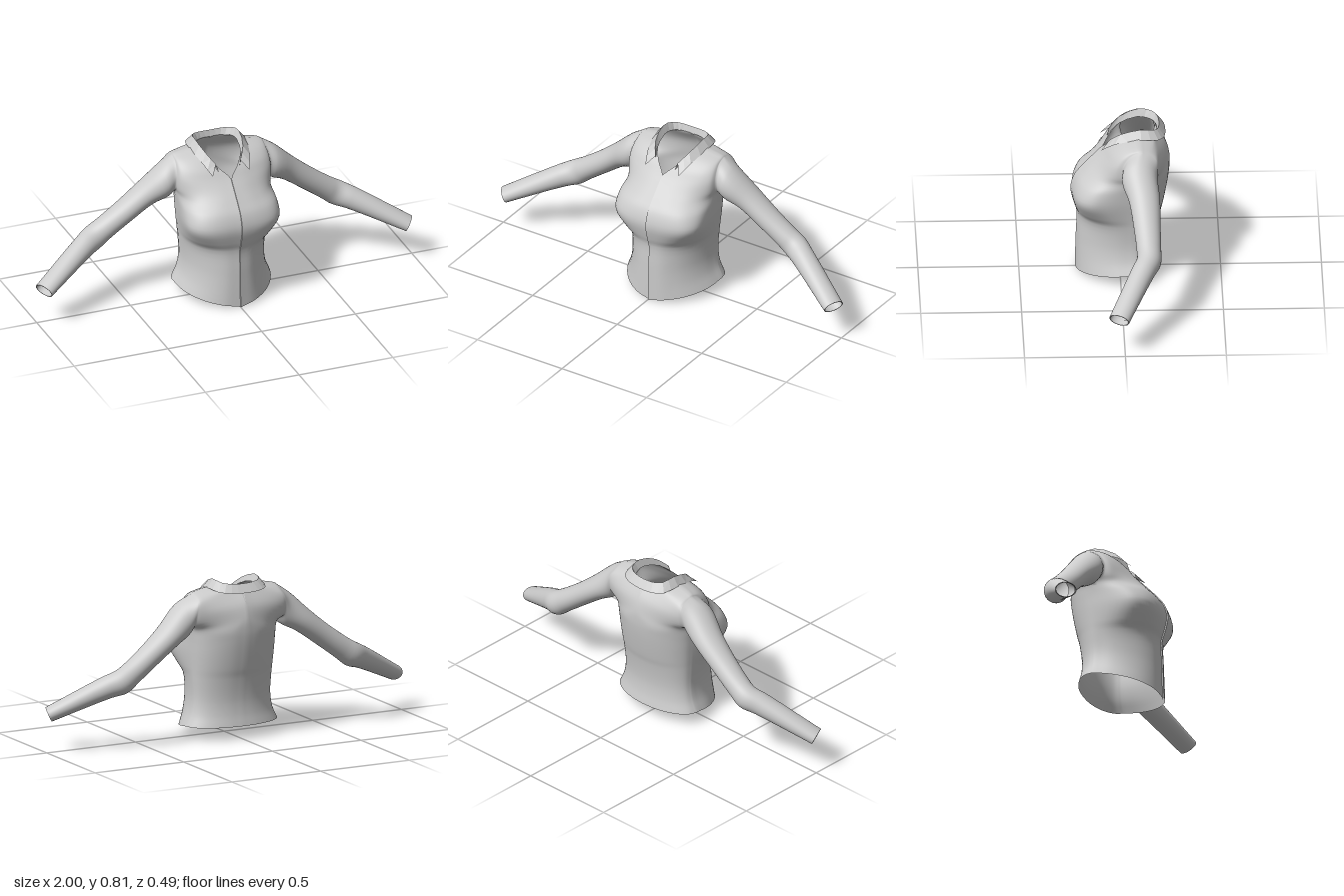
import * as THREE from 'three';
import { mergeGeometries, mergeVertices } from 'three/addons/utils/BufferGeometryUtils.js';

const STEPS = 4; // subdivisions between control points
const ARMPIT = 7, NECK = 9; // control rows at the armpit and at the front of the neckline
const vec = (x, y, z) => new THREE.Vector3(x, y, z);

// Torso below the armholes: y, front z, half width, back z, bust fullness
const TORSO = [
  [0, .215, .252, -.2, 0],
  [.1, .213, .225, -.188, 0],
  [.2, .21, .213, -.185, 0],
  [.31, .207, .218, -.2, .1],
  [.36, .222, .222, -.213, .5],
  [.44, .237, .228, -.23, 1],
  [.51, .217, .232, -.242, .8],
  [.56, .178, .238, -.247, .35],
];
// Chest rows: point on the centre or neckline, point on the armhole
const CHEST = [
  [vec(0, .605, .137), vec(.25, .595, -.02)],
  [vec(0, .655, .09), vec(.25, .655, -.01)],
  [vec(.05, .705, .048), vec(.245, .7, -.03)],
  [vec(.09, .75, -.01), vec(.24, .728, -.06)],
  [vec(.105, .775, -.09), vec(.24, .744, -.1)],
];
const UPPER_BACK = [
  [vec(0, .62, -.246), vec(.25, .595, -.16)],
  [vec(0, .69, -.228), vec(.25, .655, -.182)],
  [vec(0, .755, -.185), vec(.245, .7, -.178)],
  [vec(.075, .764, -.165), vec(.24, .728, -.145)],
];
// Sleeve rings: centre, half height, half depth
const SLEEVE = [
  [vec(.288, .618, -.092), .085, .088],
  [vec(.378, .548, -.113), .062, .077],
  [vec(.488, .463, -.122), .057, .067],
  [vec(.59, .388, -.128), .058, .061],
  [vec(.648, .348, -.127), .063, .061],
  [vec(.715, .32, -.095), .057, .058],
  [vec(.973, .187, .03), .038, .053],
];
// Collar fold, front to back
const FOLD = [
  vec(.065, .728, .052), vec(.1, .775, 0), vec(.118, .809, -.1),
  vec(.105, .8, -.165), vec(.06, .793, -.19), vec(0, .79, -.195),
];

function smooth(points, n) {
  return new THREE.CatmullRomCurve3(points).getPoints((points.length - 1) * n);
}

// Interpolate rows lengthwise, column by column
function loft(rows) {
  const cols = rows[0].map((_, j) => smooth(rows.map((r) => r[j]), STEPS));
  return cols[0].map((_, i) => cols.map((c) => c[i]));
}

// Quarter superellipse from inner to outer point; power below 1 is fuller
function section(inner, outer, power = 1, swell = 0) {
  return [0, 1, 2, 3, 4, 5].map((k) => {
    const t = k / 5, a = t * Math.PI / 2;
    return vec(
      inner.x + (outer.x - inner.x) * Math.sin(a) ** power + swell * Math.sin(2 * a),
      inner.y + (outer.y - inner.y) * t,
      outer.z + (inner.z - outer.z) * Math.cos(a) ** power);
  });
}

// Sleeve ring square to the arm: starts at the bottom and goes up the back
function sleeveRing(k, n, scale = 1, inset = 0) {
  const [centre, height, depth] = SLEEVE[k];
  const before = k ? SLEEVE[k - 1][0] : vec(0, .62, -.09);
  const after = SLEEVE[Math.min(k + 1, SLEEVE.length - 1)][0];
  const axis = after.clone().sub(before).normalize();
  const forward = vec(-axis.z, 0, axis.x).normalize();
  const up = forward.clone().cross(axis);
  return Array.from({ length: n + 1 }, (_, j) => {
    const a = 2 * Math.PI * j / n;
    return centre.clone()
      .addScaledVector(up, -Math.cos(a) * height * scale)
      .addScaledVector(forward, -Math.sin(a) * depth * scale)
      .addScaledVector(axis, -inset);
  });
}

// Triangulate a grid of points, optionally mirrored to the other side
function gridGeometry(grid, mirror = false) {
  const w = grid[0].length, idx = [];
  const points = grid.flat().map((p) => vec(mirror ? -p.x : p.x, p.y, p.z));
  for (let i = 0; i < grid.length - 1; i++) {
    for (let j = 0; j < w - 1; j++) {
      const a = i * w + j, b = a + 1, c = b + w, d = a + w;
      idx.push(...(mirror ? [a, c, b, a, d, c] : [a, b, c, a, c, d]));
    }
  }
  const g = new THREE.BufferGeometry().setFromPoints(points);
  g.setIndex(idx);
  return g;
}

export function createModel() {
  const group = new THREE.Group();
  const add = (name, geometry, flatShading = false) => {
    geometry.computeVertexNormals();
    const mesh = new THREE.Mesh(geometry,
      new THREE.MeshStandardMaterial({ color: 0xcccccc, side: THREE.DoubleSide, flatShading }));
    mesh.name = name;
    group.add(mesh);
  };

  // Front and back control rows; the hem dips at the front
  const frontRows = [], backRows = [];
  TORSO.forEach(([y, frontZ, width, backZ, bust]) => {
    const side = vec(width, y + Math.max(0, .066 - .4 * y), -.07);
    frontRows.push(section(vec(0, y, frontZ), side, 1 - .35 * bust, .04 * bust));
    backRows.push(section(vec(0, side.y, backZ), side).reverse());
  });
  CHEST.forEach(([inner, outer]) => frontRows.push(section(inner, outer)));
  UPPER_BACK.forEach(([inner, outer]) => backRows.push(section(inner, outer, 1.5).reverse()));
  backRows.push([...frontRows[frontRows.length - 1]].reverse());

  // Panels, joined along the side seam and shoulder seam
  const front = loft(frontRows.map((r) => smooth(r, STEPS)));
  const back = loft(backRows.map((r) => smooth(r, STEPS)));
  front.forEach((row, i) => {
    row.forEach((p) => { p.x = Math.max(0, p.x); });
    if (i <= NECK * STEPS) row[0].x = 0;
    if (i <= ARMPIT * STEPS) back[i][0].copy(row[row.length - 1]);
  });

  // Sleeve grows out of the armhole loop
  const armFront = front.slice(ARMPIT * STEPS).map((r) => r[r.length - 1]);
  const armBack = back.slice(ARMPIT * STEPS).map((r) => r[0]);
  const armhole = [...armBack, ...armFront.reverse().slice(1)];
  const around = armhole.length - 1;
  const sleeve = loft([armhole, ...SLEEVE.map((_, k) => sleeveRing(k, around))]);

  // The left front laps slightly over the right one
  const leftFront = front.map((row) => row.map((p) =>
    vec(p.x, p.y, p.z + .007 * Math.max(0, 1 - p.x / .12))));
  const shell = mergeGeometries([
    gridGeometry(leftFront), gridGeometry(front, true),
    ...[false, true].flatMap((m) => [gridGeometry(back, m), gridGeometry(sleeve, m)]),
  ]);
  add('bodyAndSleeves', mergeVertices(shell, 1e-4));

  // Folded edge and under-flap of the front closure
  const placket = front.slice(0, NECK * STEPS + 1).map((row, i) =>
    [leftFront[i][0], row[0], vec(.03, row[0].y, row[0].z - .008)]);
  add('frontPlacket', gridGeometry(placket), true);

  // Cuff hems turned inwards
  const end = SLEEVE.length - 1;
  const hem = [sleeveRing(end, around), sleeveRing(end, around, .91), sleeveRing(end, around, .91, .03)];
  add('leftCuffHem', gridGeometry(hem), true);
  add('rightCuffHem', gridGeometry(hem, true), true);

  // Collar: stand below the fold, leaf falling outside it
  const collar = [
    FOLD.map((p) => vec(p.x * .85, p.y - .037, p.z + .01)),
    FOLD,
    FOLD.map((p) => vec(p.x * 1.27 + .3 * Math.max(0, p.z), p.y - .042, (p.z + .09) * 1.3 - .09)),
  ].map((row) => smooth(row, 2));
  add('collar', mergeVertices(mergeGeometries([gridGeometry(collar), gridGeometry(collar, true)]), 1e-4), true);

  return group;
}
